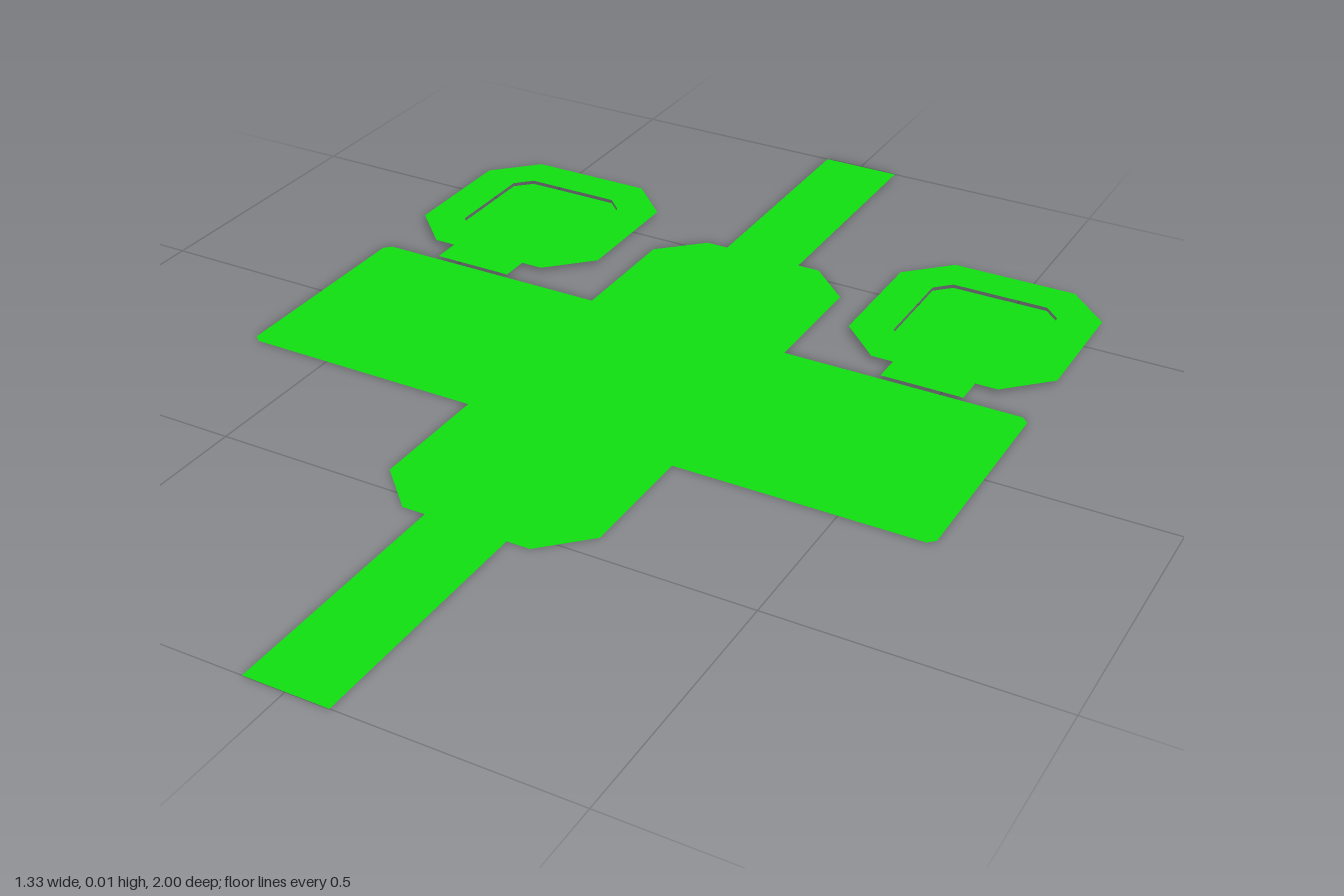
import * as THREE from 'three';

const LIFT = 0.007; // pods sit slightly above the hull plane

const material = new THREE.MeshStandardMaterial({ color: 0x10e010, side: THREE.DoubleSide });

const toShape = (pts) => new THREE.Shape(pts.map(([x, z]) => new THREE.Vector2(x, -z)));

// Square of half size a around (cx, cz) with corners cut by c
function cutSquare(cx, cz, a, c) {
  const b = a - c;
  return [[a, b], [b, a], [-b, a], [-a, b], [-a, -b], [-b, -a], [b, -a], [a, -b]]
    .map(([x, z]) => [cx + x, cz + z]);
}

// Flat horizontal sheet at height y
function sheet(name, shape, y) {
  const geometry = new THREE.ShapeGeometry(shape);
  geometry.rotateX(-Math.PI / 2);
  const mesh = new THREE.Mesh(geometry, material);
  mesh.name = name;
  mesh.position.y = y;
  return mesh;
}

export function createModel() {
  const model = new THREE.Group();
  model.name = 'flatCraft';

  // Hull: nose and tail booms, chamfered body and wings, mirrored across x
  const half = [
    [0.077, 1], [0.077, 0.53], [0.12, 0.53], [0.2, 0.45], [0.2, 0.212],
    [0.652, 0.212], [0.665, 0.2], [0.665, -0.202], [0.652, -0.215],
    [0.2, -0.215], [0.2, -0.455], [0.12, -0.532], [0.077, -0.532], [0.077, -1],
  ];
  const mirrored = half.map(([x, z]) => [-x, z]).reverse();
  model.add(sheet('hull', toShape([...half, ...mirrored]), 0));

  // Octagonal pods behind each wing
  for (const [side, s] of [['left', 1], ['right', -1]]) {
    const cx = s * 0.465, cz = -0.47;
    const pod = new THREE.Group();
    pod.name = side + 'Pod';

    // Rim with a hole, and the panel set just below it
    const rim = toShape(cutSquare(cx, cz, 0.2, 0.08));
    const opening = cutSquare(cx, cz, 0.123, 0.03);
    rim.holes.push(toShape(opening));
    pod.add(sheet('podRim', rim, LIFT));
    pod.add(sheet('podPanel', toShape(opening), 0));

    // Short strut joining the pod to the wing
    const w = 0.078;
    const strut = [[cx - w, -0.27], [cx + w, -0.27], [cx + w, -0.215], [cx - w, -0.215]];
    pod.add(sheet('podStrut', toShape(strut), LIFT));
    model.add(pod);
  }
  return model;
}
